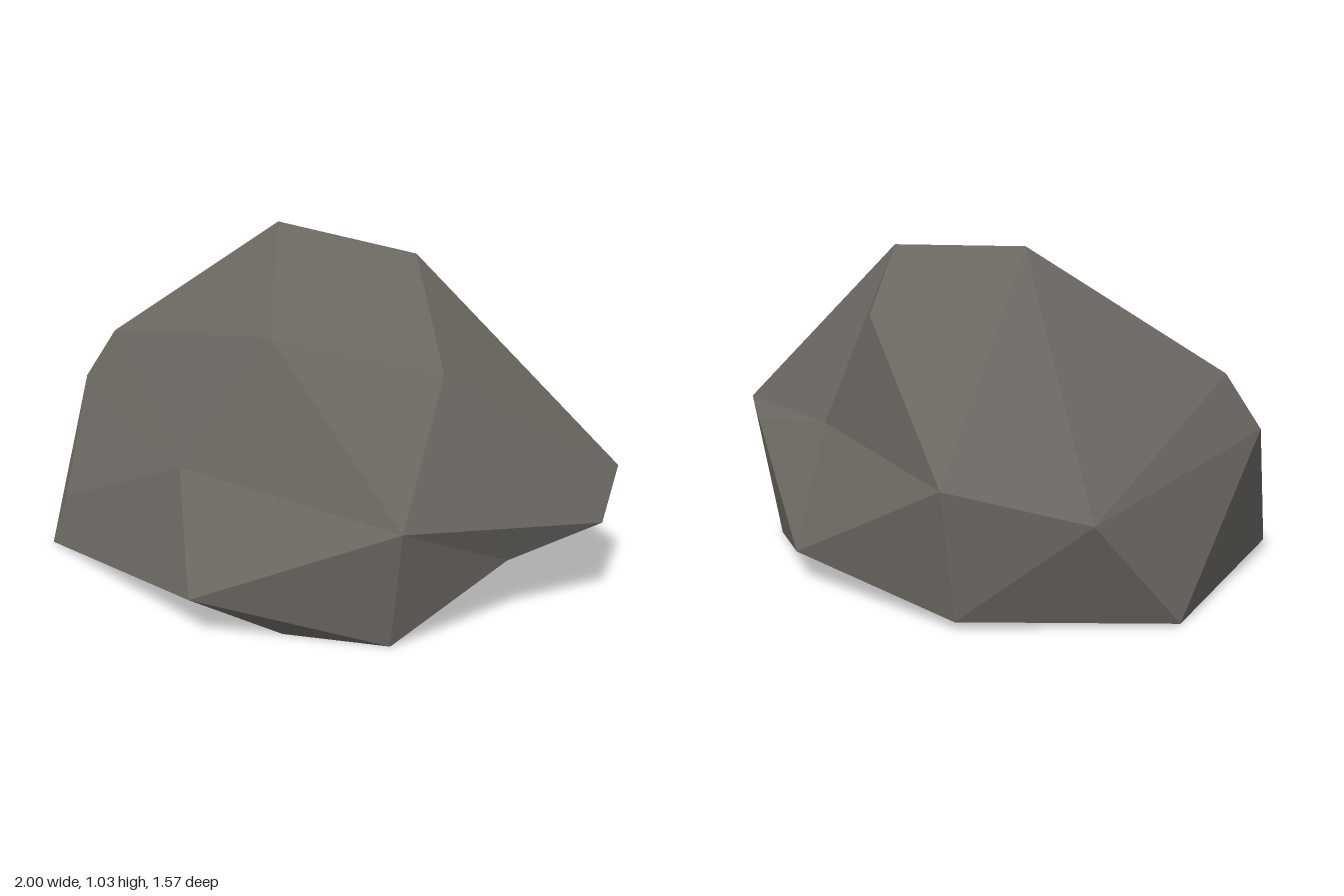
import * as THREE from 'three';

// Named corners of the boulder
const corners = {
  // crown
  peak: [-0.46, 1.035, -0.23], ridge: [0.19, 1.005, -0.28], brow: [0.31, 0.87, 0.455],
  shoulder: [0.70, 0.78, 0.13], crest: [-0.79, 0.65, 0.28],
  // left and front
  cheek: [0.79, 0.38, 0.38], tip: [1.0, 0.30, -0.27], notch: [0.86, 0.21, 0],
  chin: [0.32, 0.14, 0.785], face: [0.13, 0.47, 0.665], toe: [-0.555, 0.17, 0.66],
  // right
  flank: [-0.86, 0.48, 0.365], hip: [-0.94, 0.32, -0.36], foot: [-1.0, 0.005, -0.09],
  // back
  edge: [0.90, 0.405, -0.48], backLeft: [0.49, 0.405, -0.65], backTop: [-0.15, 0.825, -0.58],
  dent: [0.11, 0.455, -0.60], tail: [-0.03, 0.095, -0.785], backRight: [-0.66, 0.405, -0.67],
  heel: [-0.66, 0.025, -0.625],
  // ground
  baseFrontRight: [-0.585, 0, 0.705], baseFrontLeft: [0.73, 0, 0.36], baseFront: [0.46, 0, 0.545],
  baseBackLeft: [0.46, 0, -0.59], baseBackRight: [-0.60, 0, -0.44], baseCentre: [0.23, 0, 0.02],
};

// Facets fan around a hub corner; a closed fan repeats its first corner
const fans = [
  ['peak', 'ridge brow crest hip backRight backTop ridge'],
  ['dent', 'backTop backRight tail backLeft edge ridge backTop'],
  ['cheek', 'shoulder tip notch baseFrontLeft chin face brow shoulder'],
  ['flank', 'crest hip foot baseFrontRight toe face crest'],
  ['heel', 'backRight hip foot baseBackRight tail backRight'],
  ['baseCentre', 'baseFrontLeft baseFront baseFrontRight foot baseBackRight baseBackLeft tip notch baseFrontLeft'],
  ['edge', 'ridge shoulder tip baseBackLeft backLeft'],
  ['chin', 'baseFrontLeft baseFront baseFrontRight toe face'],
  ['tail', 'backLeft baseBackLeft baseBackRight'],
  ['brow', 'ridge shoulder'],
  ['brow', 'crest face'],
];

function boulderGeometry() {
  const core = new THREE.Vector3(0, 0.4, 0);
  const point = (name) => new THREE.Vector3(...corners[name]);
  const points = [];
  for (const [hub, ring] of fans) {
    const rim = ring.split(' ').map(point);
    for (let i = 0; i < rim.length - 1; i++) {
      const a = point(hub), b = rim[i], c = rim[i + 1];
      const normal = new THREE.Triangle(a, b, c).getNormal(new THREE.Vector3());
      // turn every facet away from the core
      const outward = normal.dot(a.clone().sub(core)) > 0;
      points.push(a, ...(outward ? [b, c] : [c, b]));
    }
  }
  const geometry = new THREE.BufferGeometry().setFromPoints(points);
  geometry.computeVertexNormals();
  return geometry;
}

export function createModel() {
  const group = new THREE.Group();
  group.name = 'rock';
  const stone = new THREE.MeshStandardMaterial({ color: 0x6b6761, flatShading: true });
  stone.name = 'grey stone';
  const boulder = new THREE.Mesh(boulderGeometry(), stone);
  boulder.name = 'boulder';
  group.add(boulder);
  return group;
}
